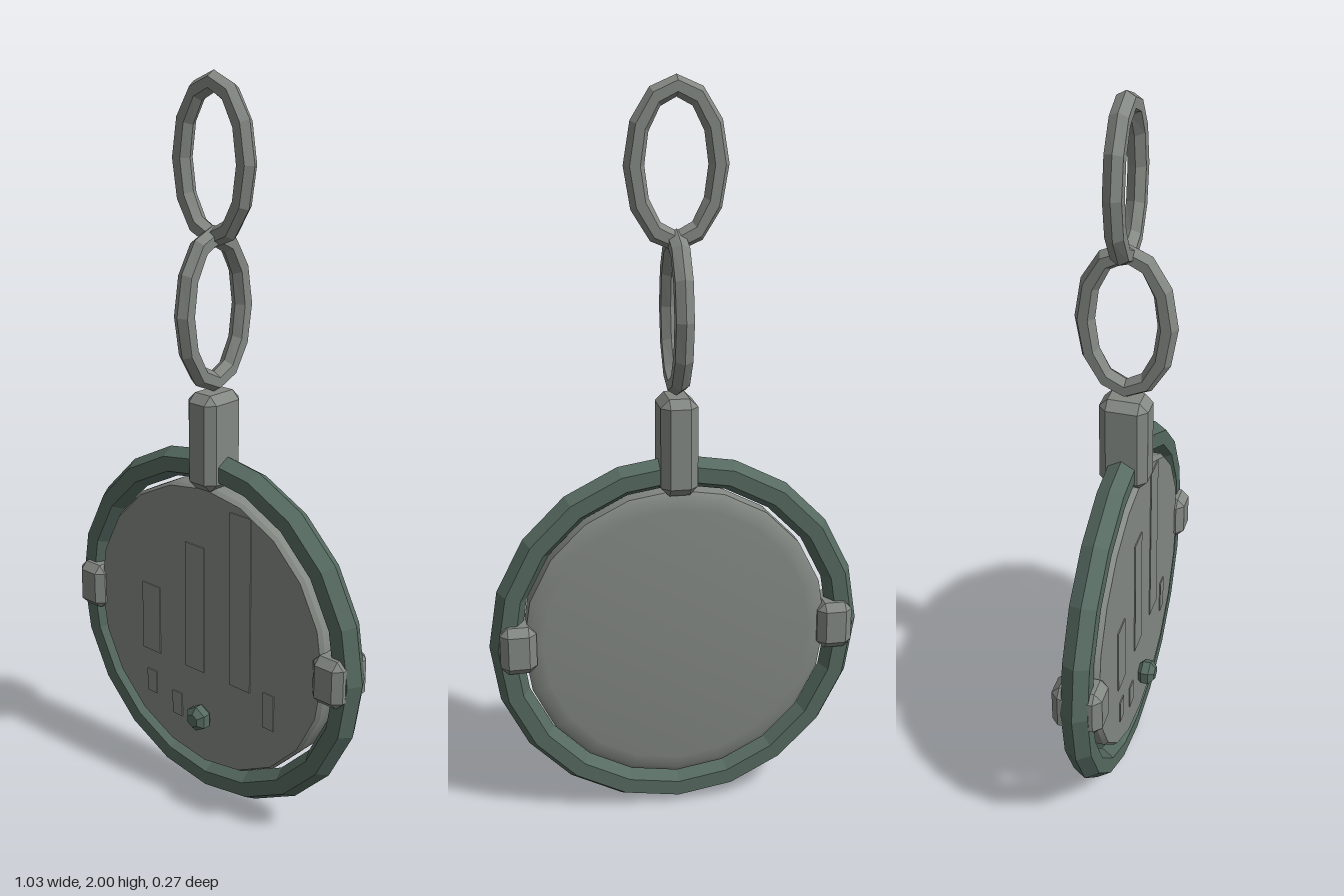
import * as THREE from 'three';
import { toCreasedNormals } from 'three/addons/utils/BufferGeometryUtils.js';
import { ConvexGeometry } from 'three/addons/geometries/ConvexGeometry.js';

const CENTRE_Y = 0.515;

// Faceted copy of a geometry: one normal per face
function faceted(geometry) {
  const flat = geometry.toNonIndexed();
  flat.computeVertexNormals();
  return flat;
}

// Six-sided hoop of half-width a and half-height b (to the tube centre)
function hoop(a, b, tube, segments) {
  const geometry = new THREE.TorusGeometry(a, tube, 6, segments);
  const p = geometry.attributes.position;
  for (let i = 0; i < p.count; i++) {
    const x = p.getX(i), y = p.getY(i);
    p.setY(i, y + (b - a) * y / Math.hypot(x, y));
  }
  return faceted(geometry);
}

// Box with every edge and corner cut off by c
function chamferedBox(width, height, depth, c) {
  const points = [];
  const [w, h, d] = [width / 2, height / 2, depth / 2];
  for (const sx of [-1, 1]) for (const sy of [-1, 1]) for (const sz of [-1, 1]) {
    points.push(
      new THREE.Vector3(sx * w, sy * (h - c), sz * (d - c)),
      new THREE.Vector3(sx * (w - c), sy * h, sz * (d - c)),
      new THREE.Vector3(sx * (w - c), sy * (h - c), sz * d));
  }
  return new ConvexGeometry(points);
}

// Turned part whose axis points to the front; profile runs back to front
function turned(profile, segments) {
  const points = profile.map(([r, z]) => new THREE.Vector2(r, z));
  return new THREE.LatheGeometry(points, segments).rotateX(Math.PI / 2);
}

export function createModel() {
  const model = new THREE.Group();
  model.name = 'pendant';

  const steel = new THREE.MeshStandardMaterial({ color: 0x838883 });
  steel.name = 'grey steel';
  const patina = new THREE.MeshStandardMaterial({ color: 0x566a61 });
  patina.name = 'dark green metal';

  function add(name, geometry, material, x, y, z) {
    const mesh = new THREE.Mesh(geometry, material);
    mesh.name = name;
    mesh.position.set(x, y, z);
    model.add(mesh);
    return mesh;
  }

  // Outer rim
  add('rim', hoop(0.472, 0.472, 0.042, 20), patina, 0, CENTRE_Y, 0);

  // Face plate: crisp front bevel, softly rounded back
  const plate = turned([
    [0, -0.043], [0.37, -0.043], [0.405, -0.038], [0.42, -0.028],
    [0.42, 0.03], [0.412, 0.042], [0, 0.042],
  ], 20);
  add('facePlate', toCreasedNormals(plate, 0.5), steel, 0.004, CENTRE_Y + 0.003, 0);

  // Thin raised bars on the front: left, right, bottom, top
  const bars = [
    [-0.235, -0.167, 0.384, 0.59],
    [-0.066, 0.003, 0.384, 0.76],
    [0.098, 0.172, 0.384, 0.89],
    [-0.22, -0.183, 0.25, 0.32],
    [-0.119, -0.082, 0.214, 0.286],
    [0.22, 0.257, 0.3, 0.405],
  ];
  bars.forEach(([x0, x1, y0, y1], i) => {
    add(`bar${i + 1}`, new THREE.BoxGeometry(x1 - x0, y1 - y0, 0.006), steel,
      (x0 + x1) / 2, (y0 + y1) / 2, 0.042);
  });

  // Small six-sided stud
  const stud = turned([
    [0, 0.035], [0.02, 0.035], [0.037, 0.052], [0.037, 0.074], [0.02, 0.089], [0, 0.089],
  ], 6);
  add('stud', faceted(stud), patina, 0, 0.25, 0);

  // Side clips gripping the rim
  for (const side of [-1, 1]) {
    add(side > 0 ? 'leftClip' : 'rightClip', chamferedBox(0.098, 0.134, 0.136, 0.021),
      steel, side * 0.439, 0.518, 0);
  }

  // Hanger block on top of the rim
  add('hanger', chamferedBox(0.1, 0.264, 0.132, 0.023), steel, 0, 1.06, 0);

  // Two interlocked chain links, the lower one turned sideways
  const link = hoop(0.108, 0.19, 0.027, 12);
  add('lowerLink', link, steel, 0, 1.408, 0).rotation.y = Math.PI / 2;
  add('upperLink', link, steel, 0, 1.783, 0);

  return model;
}
